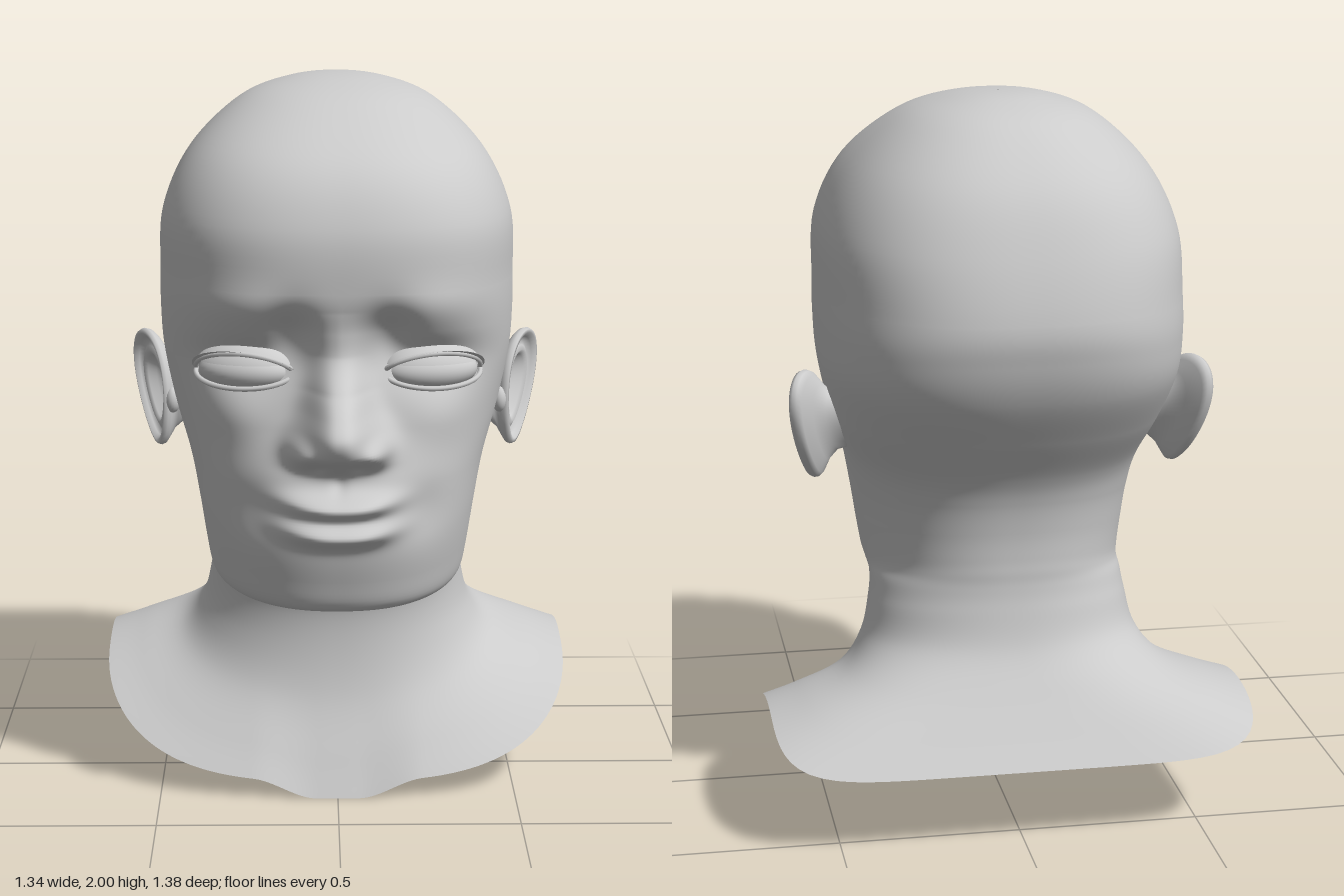
import * as THREE from 'three';

const mat = new THREE.MeshStandardMaterial({ color: 0xcccccc, side: THREE.DoubleSide });
const V = (x, y, z) => new THREE.Vector3(x, y, z);
const smooth = THREE.MathUtils.smoothstep;
const bump = (x, y, cx, cy, sx, sy) => Math.exp(-(((x - cx) / sx) ** 2) - ((y - cy) / sy) ** 2);

// Skin rows of points into one smooth surface
function loft(rows, closed = true) {
  const n = rows[0].length, pos = [], index = [];
  rows.forEach(r => r.forEach(p => pos.push(p.x, p.y, p.z)));
  for (let i = 0; i < rows.length - 1; i++) {
    for (let j = 0; j < (closed ? n : n - 1); j++) {
      const k = (j + 1) % n, a = i * n + j, b = i * n + k, c = a + n, d = b + n;
      index.push(a, c, b, b, c, d);
    }
  }
  const g = new THREE.BufferGeometry();
  g.setAttribute('position', new THREE.Float32BufferAttribute(pos, 3));
  g.setIndex(index);
  g.computeVertexNormals();
  return g;
}

function add(parent, name, geometry) {
  const m = new THREE.Mesh(geometry, mat);
  m.name = name;
  parent.add(m);
  return m;
}

// Smooth interpolation between b and c
const spline = (a, b, c, d, t) =>
  b + 0.5 * t * (c - a + t * (2 * a - 5 * b + 4 * c - d + t * (3 * (b - c) + d - a)));

// Cross-sections, crown to shoulders:
// front y, front z, back y, back z, half width, arch of the ring, squareness
const SECTIONS = [
  [2.0, -0.149, 2.0, -0.151, 0.001, 0, 2.2],
  [1.985, 0.03, 1.985, -0.29, 0.14, 0, 2.2],
  [1.93, 0.21, 1.93, -0.425, 0.275, 0, 2.3],
  [1.8, 0.425, 1.8, -0.565, 0.41, 0, 2.5],
  [1.64, 0.515, 1.64, -0.645, 0.484, 0, 2.6],
  [1.47, 0.52, 1.47, -0.688, 0.494, 0, 2.6],
  [1.36, 0.495, 1.36, -0.677, 0.494, 0, 2.7],
  [1.25, 0.465, 1.25, -0.638, 0.486, 0, 2.7],
  [1.1, 0.475, 1.12, -0.558, 0.455, 0, 2.5],
  [0.95, 0.525, 1.0, -0.478, 0.412, 0, 2.35],
  [0.8, 0.525, 0.92, -0.443, 0.388, 0, 2.35],
  [0.68, 0.495, 0.83, -0.425, 0.372, 0, 2.35],
  [0.6, 0.46, 0.76, -0.42, 0.36, 0, 2.35],
  [0.585, 0.38, 0.72, -0.42, 0.354, 0, 2.3],
  [0.59, 0.24, 0.68, -0.42, 0.354, 0, 2.2],
  [0.54, 0.18, 0.62, -0.427, 0.362, 0, 2.2],
  [0.42, 0.167, 0.51, -0.452, 0.388, 0.01, 2.2],
  [0.26, 0.19, 0.41, -0.51, 0.45, 0.06, 2.3],
  [0.1, 0.255, 0.31, -0.58, 0.57, 0.14, 2.5],
  [0.0, 0.3, 0.23, -0.64, 0.668, 0.2, 2.8],
];

// Nose ridge: y, height above the face, half width
const NOSE = [
  [1.42, 0, 0.06], [1.3, 0.03, 0.06], [1.21, 0.12, 0.07], [1.16, 0.18, 0.08],
  [1.11, 0.214, 0.095], [1.06, 0.18, 0.105], [1.02, 0.09, 0.105], [0.985, 0.012, 0.09], [0.94, 0, 0.08],
];

function noseHeight(x, y) {
  const at = i => NOSE[THREE.MathUtils.clamp(i, 0, NOSE.length - 1)];
  const i = NOSE.findIndex((k, q) => y <= k[0] && y > at(q + 1)[0]);
  if (i < 0) return 0;
  const t = (NOSE[i][0] - y) / (NOSE[i][0] - at(i + 1)[0]);
  const [h, s] = [1, 2].map(q => spline(at(i - 1)[q], at(i)[q], at(i + 1)[q], at(i + 2)[q], t));
  return Math.max(0, h) * Math.exp(-((x / s) ** 2.6));
}

// Forward relief of the face
function faceRelief(px, y) {
  const x = Math.abs(px);
  const lipY = y - 0.5 * x * x, lipW = Math.exp(-((x / 0.14) ** 3));
  let d = noseHeight(x, y);
  d += 0.05 * bump(x, y, 0.1, 1.055, 0.036, 0.036);             // nostril wings
  d -= 0.02 * bump(x, y, 0.05, 1.015, 0.025, 0.015);            // nostrils
  d += 0.066 * lipW * Math.exp(-(((lipY - 0.903) / 0.03) ** 2)); // upper lip
  d += 0.06 * lipW * Math.exp(-(((lipY - 0.825) / 0.031) ** 2)); // lower lip
  d -= 0.008 * bump(x, y, 0, 0.96, 0.02, 0.03);                 // groove above the lip
  d -= 0.05 * bump(x, y, 0.13, 1.35, 0.07, 0.08);               // inner brow hollow
  d -= 0.045 * bump(x, y, 0.25, 1.275, 0.13, 0.075);            // eye socket
  d += 0.012 * bump(x, y, 0.25, 1.44, 0.14, 0.06);              // brow
  d += 0.02 * bump(x, y, 0.28, 1.12, 0.1, 0.08);                // cheekbone
  d -= 0.015 * bump(x, y, 0.23, 0.88, 0.07, 0.08);              // cheek hollow
  return d;
}

function headGeometry() {
  const [p0, p1] = SECTIONS, last = SECTIONS[SECTIONS.length - 1];
  const over = [p1[0], p1[3], p1[2], p1[1], -p1[4], p0[5], p0[6]]; // mirrored past the crown
  const keys = [over, ...SECTIONS, last];
  const rows = [], COLS = 200;
  const ring = ([yf, zf, yb, zb, w, arch, front]) => {
    const row = [];
    for (let j = 0; j < COLS; j++) {
      const t = (j / COLS) * Math.PI * 2, phi = t - 0.45 * Math.sin(t); // finer at the face
      const s = Math.sin(phi), c = Math.cos(phi);
      const n = c < 0 ? front * (1 + 7 * arch) : front;                 // squarer shoulder blades
      const r = (Math.abs(s) ** n + Math.abs(c) ** n) ** (-1 / n);
      const x = w * r * s, u = (1 + r * c) / 2;
      let y = yb + (yf - yb) * u + arch * 4 * u * (1 - u);
      let z = zb + (zf - zb) * u;
      if (c > 0) y += 0.25 * arch * smooth(Math.abs(x), 0.06, 0.24) * u ** 8; // chest point
      if (yf > 0.61) z += faceRelief(x, y) * smooth(z, 0.1, 0.28);
      row.push(V(x, y, z));
    }
    return row;
  };
  for (let i = 1; i < keys.length - 2; i++) {
    const steps = i >= 6 && i <= 11 ? 22 : 7;
    for (let s = 0; s < steps; s++) {
      rows.push(ring(keys[i].map((b, q) => spline(keys[i - 1][q], b, keys[i + 1][q], keys[i + 2][q], s / steps))));
    }
  }
  rows.push(ring(last));
  return loft(rows);
}

// Ear: rings from the root, over the rim, into the bowl (scale, outward offset, shift to the rear)
function earGeometry() {
  const profile = [
    [0.5, -0.07, -0.075], [0.55, -0.04, -0.06], [0.7, -0.022, -0.03], [0.9, -0.012, 0], [0.98, 0, 0], [1, 0.012, 0],
    [0.97, 0.022, 0], [0.91, 0.023, 0], [0.84, 0.01, 0], [0.77, -0.002, 0], [0.69, 0.004, 0], [0.61, 0.01, 0],
    [0.54, 0.002, -0.005], [0.45, -0.018, -0.01], [0.25, -0.032, -0.015], [0.001, -0.035, -0.015],
  ];
  return loft(profile.map(([s, out, shift]) => {
    const row = [];
    for (let j = 0; j < 48; j++) {
      const a = (-j / 48) * Math.PI * 2, sn = Math.sin(a);
      const u = shift + s * (0.1 * Math.cos(a) * (1 + 0.28 * sn) + 0.045 * sn);
      row.push(V(0.516 + 0.46 * u + 0.89 * out, 1.094 + 0.163 * s * sn, -0.155 - 0.89 * u + 0.46 * out));
    }
    return row;
  }));
}

function buildEye(side) {
  const eye = new THREE.Group();
  eye.name = 'eye';
  eye.position.set(0.247, 1.244, 0.362);
  eye.rotation.y = 0.3;
  add(eye, 'eyeball', new THREE.SphereGeometry(1, 40, 24)).scale.set(0.132, 0.058, 0.083);
  const lid = add(eye, 'upperLid', new THREE.SphereGeometry(1, 40, 16, 0, Math.PI * 2, 0, Math.PI * 0.4));
  lid.scale.set(0.145, 0.085, 0.094);
  const rim = (a, up) => V(0.138 * Math.cos(a), up * 0.042 * Math.sin(a), 0.01 + 0.07 * Math.sin(a));
  const arc = up => Array.from({ length: 17 }, (_, i) => rim((i / 16) * Math.PI, up));
  for (const [name, up] of [['upperLidRim', 1.35], ['lowerLidRim', -0.9]]) {
    add(eye, name, new THREE.TubeGeometry(new THREE.CatmullRomCurve3(arc(up)), 40, 0.007, 8));
  }
  // Lashes: a thin curved strip
  const inner = arc(1.45);
  const outer = inner.map((p, i) => {
    const f = Math.sin((i / 16) * Math.PI);
    return V(p.x * 1.05, p.y + 0.012 * f, p.z + 0.055 * f);
  });
  add(eye, 'lashes', loft([inner, outer], false));
  side.add(eye);
}

export function createModel() {
  const model = new THREE.Group();
  model.name = 'headBust';
  add(model, 'headAndNeck', headGeometry());
  const ear = earGeometry();
  for (const s of [1, -1]) {
    const side = new THREE.Group();
    side.name = s > 0 ? 'leftFeatures' : 'rightFeatures';
    side.scale.x = s;
    add(side, 'ear', ear);
    const tragus = add(side, 'tragus', new THREE.SphereGeometry(1, 20, 14));
    tragus.position.set(0.468, 1.07, -0.075);
    tragus.scale.set(0.022, 0.038, 0.028);
    buildEye(side);
    model.add(side);
  }
  return model;
}
